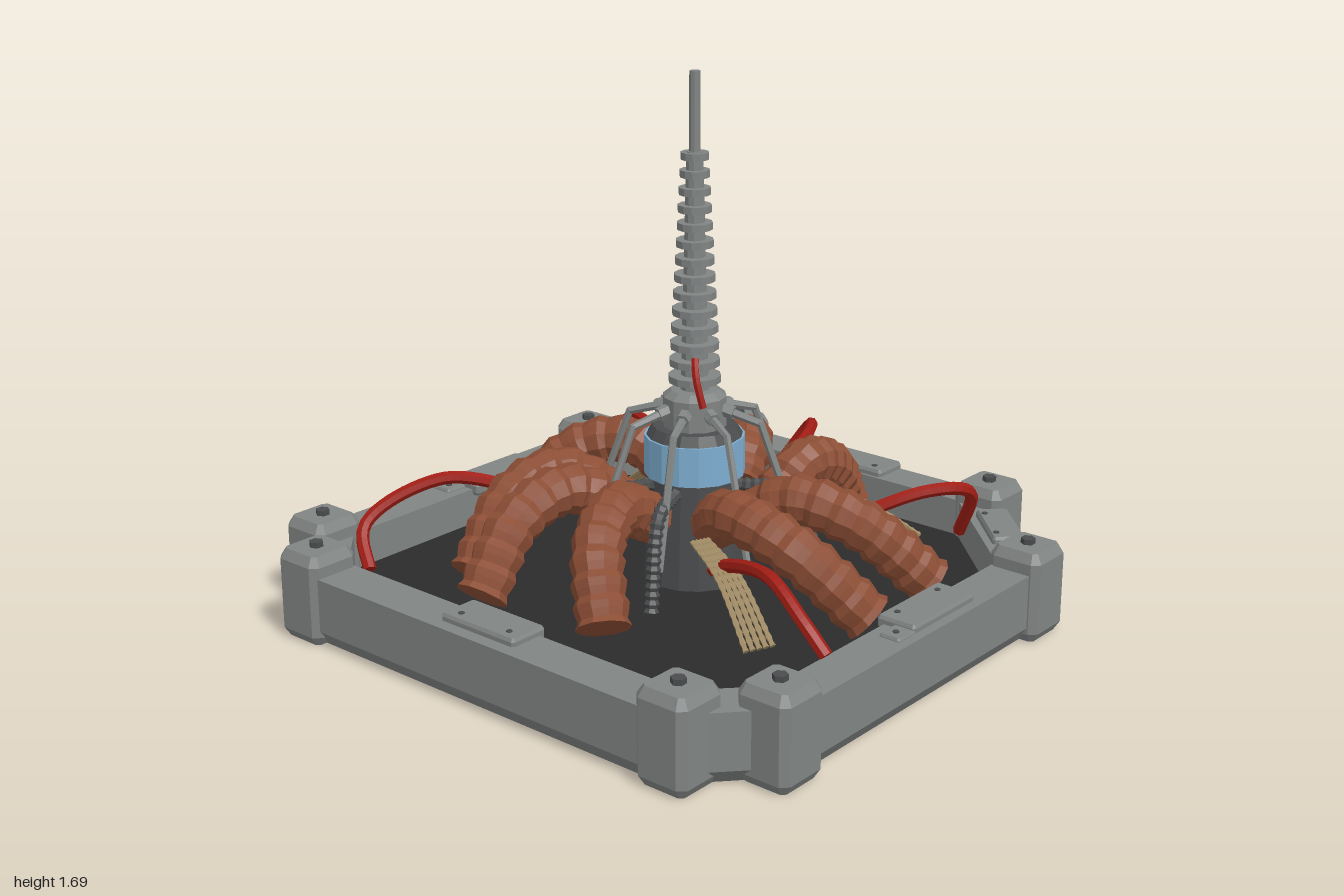
import * as THREE from 'three';

const mat = (name, color) => Object.assign(new THREE.MeshStandardMaterial({ color }), { name });
const V = (x, y, z) => new THREE.Vector3(x, y, z);

// Octagon: half width, back/front z, and where the back and front corner cuts begin
const FRAME = [[-0.97, 0.70], [-0.73, 0.96], [0.73, 0.96], [0.97, 0.70],
  [0.97, -0.52], [0.53, -0.96], [-0.53, -0.96], [-0.97, -0.52]];
const INNER = [[-0.835, 0.645], [-0.67, 0.815], [0.67, 0.815], [0.835, 0.645],
  [0.835, -0.465], [0.46, -0.83], [-0.46, -0.83], [-0.835, -0.465]];

export function createModel() {
  const steel = mat('steel', 0x808483);
  const dark = mat('dark floor', 0x2b2b2b);
  const charcoal = mat('charcoal', 0x4a4c4d);
  const copper = mat('copper hose', 0x8c4e35);
  const red = mat('red cable', 0xa01d14);
  const blue = mat('blue glass', 0x7dadd0);
  const tan = mat('tan wire', 0xa38d66);

  const model = new THREE.Group();
  const add = (name, geo, material, parent = model) => {
    const mesh = new THREE.Mesh(geo, material);
    mesh.name = name;
    parent.add(mesh);
    return mesh;
  };
  const group = (name, parent = model) => {
    const g = new THREE.Group();
    g.name = name;
    parent.add(g);
    return g;
  };
  const flat = (geo) => {
    const g = geo.index ? geo.toNonIndexed() : geo;
    g.computeVertexNormals();
    return g;
  };

  // Upright slab from an outline in x and z
  const pts = (list) => list.map(([x, z]) => new THREE.Vector2(x, -z));
  const slab = (outline, y0, y1, hole) => {
    const shape = new THREE.Shape(pts(outline));
    if (hole) shape.holes.push(new THREE.Path(pts(hole)));
    return new THREE.ExtrudeGeometry(shape, { depth: y1 - y0, bevelEnabled: false })
      .rotateX(-Math.PI / 2).translate(0, y0, 0);
  };
  // Box with chamfered edges, standing on y = 0
  const chamferBox = (w, h, d, b) => {
    const x = w / 2 - b, z = d / 2 - b, c = b * 0.6;
    const shape = new THREE.Shape(pts([[-x - b + c, z], [-x, z + b - c], [x, z + b - c], [x + b - c, z],
      [x + b - c, -z], [x, -z - b + c], [-x, -z - b + c], [-x - b + c, -z]]));
    return new THREE.ExtrudeGeometry(shape, { depth: h - 2 * b, bevelThickness: b, bevelSize: c, bevelSegments: 1 })
      .rotateX(-Math.PI / 2).translate(0, b, 0);
  };
  // Tube along a smooth path; radiusAt(i, n) scales each ring, and both ends are closed
  const ribbedTube = (points, n, r, sides, radiusAt = () => 1) => {
    const curve = new THREE.CatmullRomCurve3(points);
    const geo = new THREE.TubeGeometry(curve, n, r, sides);
    const p = geo.attributes.position, v = V(0, 0, 0);
    for (let k = 0; k < p.count; k++) {
      const i = Math.floor(k / (sides + 1));
      const end = i === 0 || i === n;
      const c = curve.getPointAt(i === 0 ? 1 / n : i === n ? (n - 1) / n : i / n);
      if (end) v.copy(c);
      else v.fromBufferAttribute(p, k).sub(c).multiplyScalar(radiusAt(i, n)).add(c);
      p.setXYZ(k, v.x, v.y, v.z);
    }
    return flat(geo);
  };
  const rod = (a, b, r0, r1, sides = 6) => {
    const d = b.clone().sub(a);
    const geo = flat(new THREE.CylinderGeometry(r1, r0, d.length(), sides));
    geo.applyQuaternion(new THREE.Quaternion().setFromUnitVectors(V(0, 1, 0), d.normalize()));
    const m = a.clone().add(b).multiplyScalar(0.5);
    return geo.translate(m.x, m.y, m.z);
  };
  const bolt = (x, y, z, r, parent) =>
    add('bolt', flat(new THREE.CylinderGeometry(r, r, 0.02, 6)), charcoal, parent).position.set(x, y, z);

  // Tray: rails, tapered lower edge with dark underside, inner floor
  const tray = group('tray');
  add('rails', slab(FRAME, 0.05, 0.22, INNER), steel, tray);
  const skirt = slab(FRAME, 0, 0.05);
  const sp = skirt.attributes.position;
  for (let k = 0; k < sp.count; k++) {
    if (sp.getY(k) < 0.025) sp.setXYZ(k, sp.getX(k) * 0.965, 0, sp.getZ(k) * 0.965);
  }
  skirt.computeVertexNormals();
  add('lowerEdge', skirt, [dark, steel], tray);
  add('floor', slab(INNER, 0.04, 0.1), dark, tray);

  // Corner blocks with hex bolts
  for (const s of [-1, 1]) {
    for (const [x, z] of [[0.53, -0.905], [0.91, -0.52], [0.91, 0.705], [0.72, 0.89]]) {
      const block = group('cornerBlock', tray);
      block.position.set(s * x, 0, z);
      add('blockBody', chamferBox(0.175, 0.285, 0.175, 0.03), steel, block);
      bolt(0, 0.292, 0, 0.022, block);
    }
  }

  // Cover plates on the rails: x, z, turn, length
  const plates = [[0, -0.905, 0, 0.28], [0, 0.855, 0, 0.29], [-0.875, -0.025, Math.PI / 2, 0.31],
    [0.875, -0.025, -Math.PI / 2, 0.31], [-0.7, -0.7, Math.PI / 4, 0.25], [0.7, -0.7, -Math.PI / 4, 0.25]];
  plates.forEach(([x, z, turn, len], i) => {
    const plate = group('coverPlate', tray);
    plate.position.set(x, 0.2, z);
    plate.rotation.y = turn;
    const depth = i < 4 ? 0.13 : 0.1;
    add('plateBody', chamferBox(len, 0.043, depth, 0.01), steel, plate);
    for (const s of [-1, 1]) bolt(s * len * 0.33, 0.036, 0.03, 0.01, plate);
  });
  for (const s of [-1, 1]) {
    add('plateTab', chamferBox(0.07, 0.03, 0.1, 0.008), steel, tray).position.set(s * 0.905, 0.2, 0.155);
    bolt(s * 0.905, 0.224, 0.17, 0.01, tray);
  }

  // Screen on the back rail
  add('screenFrame', new THREE.BoxGeometry(0.25, 0.17, 0.02), steel, tray).position.set(0, 0.135, -0.966);
  add('screen', new THREE.BoxGeometry(0.2, 0.13, 0.008), dark, tray).position.set(0, 0.135, -0.979);

  // Central column
  const tower = group('tower');
  tower.position.z = -0.03;
  const drum = (name, r0, r1, y0, y1, material, sides = 16) =>
    add(name, flat(new THREE.CylinderGeometry(r1, r0, y1 - y0, sides)), material, tower)
      .position.y = (y0 + y1) / 2;
  drum('columnBase', 0.16, 0.14, 0.09, 0.44, charcoal);
  drum('glassDrum', 0.157, 0.157, 0.44, 0.565, blue);
  drum('drumCap', 0.15, 0.13, 0.565, 0.595, charcoal);
  drum('collar', 0.1, 0.1, 0.59, 0.69, steel, 12);
  drum('collarTop', 0.1, 0.075, 0.69, 0.71, steel, 12);
  drum('mastCore', 0.045, 0.026, 0.7, 1.45, steel, 10);
  drum('mastTip', 0.018, 0.017, 1.44, 1.69, steel, 10);
  for (let i = 0; i < 14; i++) {
    const y = 0.745 + i * 0.0532, r = 0.082 - i * 0.003;
    drum('mastDisc', r, r, y - 0.011, y + 0.011, steel, 12);
  }
  // Bent support legs
  for (let i = 0; i < 8; i++) {
    const leg = group('supportLeg', tower);
    leg.rotation.y = (i + 0.5) * Math.PI / 4;
    add('upperRod', rod(V(0.06, 0.66, 0), V(0.215, 0.615, 0), 0.015, 0.012), steel, leg);
    add('lowerRod', rod(V(0.21, 0.622, 0), V(0.35, 0.24, 0), 0.012, 0.012), steel, leg);
    add('socket', rod(V(0.08, 0.655, 0), V(0.125, 0.642, 0), 0.022, 0.022), steel, leg);
  }

  // Ribbed hoses arching out from the column, as x and z along the way
  const hoses = [
    [[0, -0.24], [-0.06, -0.37], [-0.17, -0.5], [-0.33, -0.6]],
    [[0.17, -0.19], [0.19, -0.33], [0.17, -0.5], [0.12, -0.67]],
    [[0.19, -0.05], [0.36, -0.07], [0.55, -0.14], [0.73, -0.29]],
    [[0.15, 0.06], [0.3, 0.15], [0.54, 0.16], [0.75, 0.05]],
    [[-0.02, 0.14], [0, 0.32], [0.08, 0.5], [0.21, 0.62]],
    [[-0.14, 0.12], [-0.23, 0.3], [-0.25, 0.5], [-0.23, 0.69]],
    [[-0.17, 0.08], [-0.35, 0.2], [-0.4, 0.38], [-0.37, 0.58]],
    [[-0.13, -0.16], [-0.37, -0.16], [-0.55, -0.06], [-0.65, 0.1]]];
  const hoseY = [0.32, 0.42, 0.37, 0.17];
  const rib = (i) => [1.04, 0.98, 0.9][i % 3];
  for (const path of hoses) {
    add('ribbedHose', ribbedTube(path.map(([x, z], i) => V(x, hoseY[i], z)), 31, 0.08, 10, rib), copper);
  }

  // Red cables
  const cables = [
    [V(-0.84, 0.2, -0.56), V(-0.72, 0.33, -0.52), V(-0.6, 0.36, -0.47), V(-0.4, 0.28, -0.36)],
    [V(-0.71, 0.12, 0.69), V(-0.81, 0.25, 0.62), V(-0.69, 0.37, 0.4), V(-0.48, 0.34, 0.23)],
    [V(0.33, 0.26, -0.27), V(0.55, 0.37, -0.5), V(0.615, 0.34, -0.65), V(0.52, 0.14, -0.74)],
    [V(-0.03, 0.3, -0.48), V(-0.08, 0.36, -0.72), V(-0.17, 0.34, -0.85), V(-0.3, 0.14, -0.81)],
    [V(0.3, 0.28, 0.26), V(0.42, 0.34, 0.3), V(0.6, 0.375, 0.36), V(0.76, 0.3, 0.41), V(0.86, 0.21, 0.415)]];
  for (const c of cables) add('redCable', ribbedTube(c, 28, 0.021, 7), red);
  add('mastCable', ribbedTube([V(0.035, 0.84, 0.01), V(0.06, 0.77, 0.035), V(0.09, 0.66, 0.03)], 10, 0.012, 6), red);

  // Fanned bundles of thin wires: start x, z and end x, z
  for (const [x0, z0, x1, z1] of [[-0.12, -0.2, -0.6, -0.43], [0.27, -0.22, 0.41, -0.65], [0.24, 0.24, 0.6, 0.39]]) {
    const bundle = group('wireBundle');
    const side = V(x1 - x0, 0, z1 - z0).normalize().cross(V(0, 1, 0));
    for (let k = -2; k <= 2; k++) {
      const a = V(x0, 0.36, z0).addScaledVector(side, k * 0.012);
      const b = V(x1, 0.15, z1).addScaledVector(side, k * 0.022);
      const m = a.clone().lerp(b, 0.5).add(V(0, 0.05, 0));
      add('wire', ribbedTube([a, m, b], 30, 0.009, 5, (i) => (i % 2 ? 1.1 : 0.8)), tan, bundle);
    }
  }

  // Slim corrugated conduits beside the column
  for (const [x, z] of [[0.37, -0.19], [0.15, 0.35], [-0.15, 0.27]]) {
    add('conduit', ribbedTube([V(x * 0.35, 0.42, z * 0.35), V(x * 0.8, 0.4, z * 0.8), V(x, 0.12, z)],
      36, 0.022, 7, (i) => (i % 2 ? 1.1 : 0.8)), charcoal);
  }
  return model;
}
